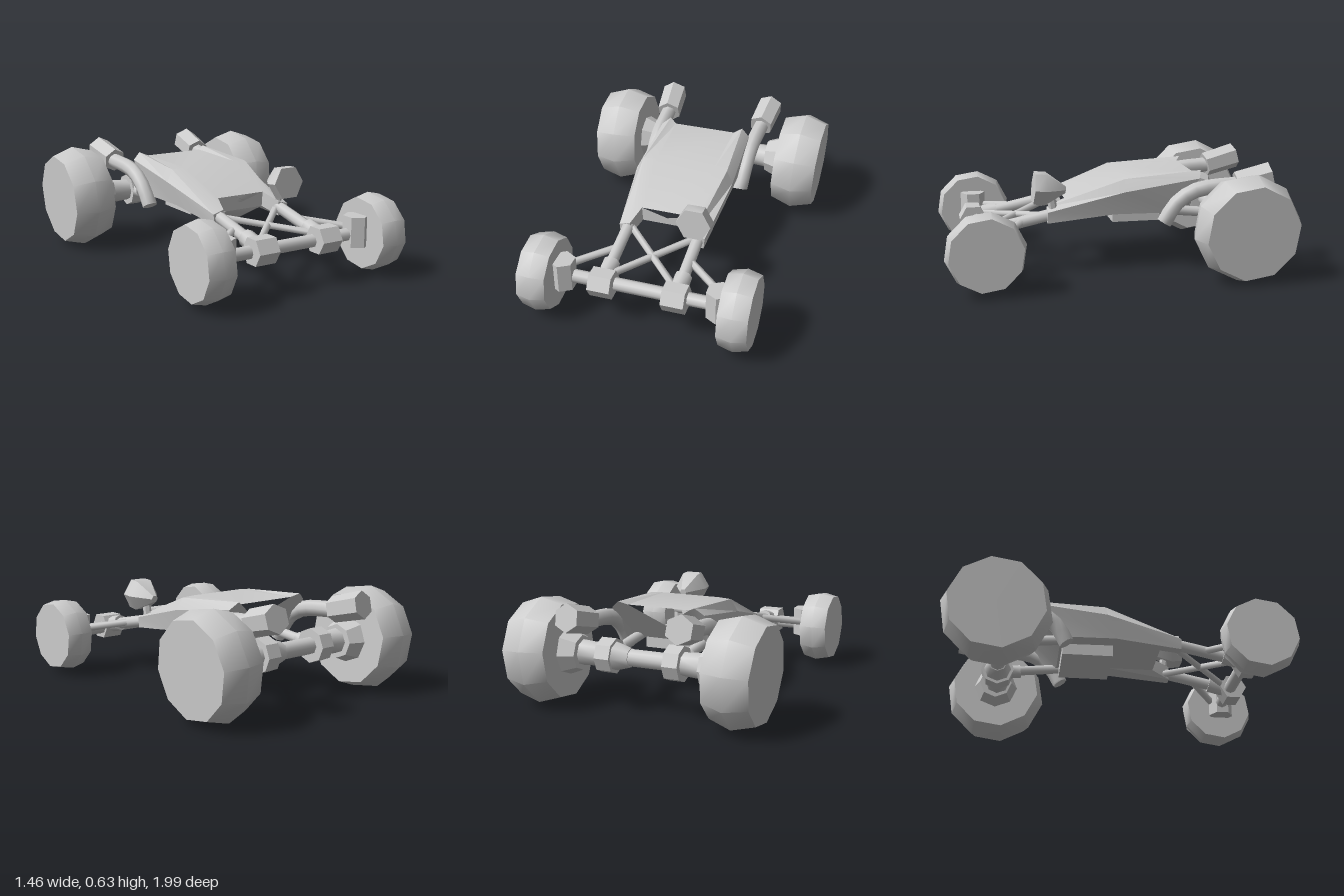
import * as THREE from 'three';
import { toCreasedNormals } from 'three/addons/utils/BufferGeometryUtils.js';

const material = new THREE.MeshStandardMaterial({ color: 0xcccccc });
const V = (p) => new THREE.Vector3(...p);
const UP = new THREE.Vector3(0, 1, 0);

export function createModel() {
  const model = new THREE.Group();

  function add(name, geometry, parent = model, crease = 0.75) {
    const mesh = new THREE.Mesh(toCreasedNormals(geometry, crease), material);
    mesh.name = name;
    parent.add(mesh);
    return mesh;
  }

  // Straight bar between two points, optionally tapered
  function bar(name, a, b, r, sides = 8, rEnd = r, crease = 0.9) {
    const from = V(a), to = V(b), dir = to.clone().sub(from);
    const mesh = add(name, new THREE.CylinderGeometry(rEnd, r, dir.length(), sides), model, crease);
    mesh.position.copy(from).add(to).multiplyScalar(0.5);
    mesh.quaternion.setFromUnitVectors(UP, dir.normalize());
    return mesh;
  }

  // Ten-sided balloon tyre with flat faces, axis along x
  function wheel(name, x, y, z, r, rFace, halfWidth, camber) {
    const profile = [[0, -1], [rFace, -1], [r, 0], [rFace, 1], [0, 1]]
      .map(([px, py]) => new THREE.Vector2(px, py * halfWidth));
    const geometry = new THREE.LatheGeometry(profile, 10, Math.PI / 20);
    geometry.rotateZ(-Math.PI / 2);
    const mesh = add(name, geometry);
    mesh.position.set(x, y, z);
    mesh.rotation.z = camber;
  }

  // Body shell: cross-sections of a half ring (bottom centre edge round to top), mirrored
  const sections = [
    [[0.15, 0.345, 0.28], [0.19, 0.305, 0.39], [0.25, 0.305, 0.39], [0.255, 0.37, 0.39], [0.19, 0.39, 0.39], [0.155, 0.43, 0.28]],
    [[0.15, 0.345, 0], [0.2, 0.345, 0], [0.265, 0.345, 0], [0.3, 0.48, -0.05], [0.26, 0.55, -0.06], [0.18, 0.555, -0.06]],
    [[0.15, 0.34, -0.32], [0.2, 0.34, -0.33], [0.265, 0.34, -0.36], [0.285, 0.54, -0.5], [0.235, 0.58, -0.52], [0.19, 0.56, -0.49]],
  ];
  const rings = sections.map((half) =>
    [...half, ...half.slice().reverse().map(([x, y, z]) => [-x, y, z])]);
  const n = rings[0].length;
  const index = [];
  for (let k = 0; k < rings.length - 1; k++) {
    for (let i = 0; i < n; i++) {
      const a = k * n + i, b = k * n + (i + 1) % n;
      index.push(a, b, a + n, b, b + n, a + n);
    }
  }
  // Caps join each half-ring point to its mirror in strips
  const cap = (o, flip) => {
    for (const [a, b, c] of [[0, 5, 11], [0, 11, 6], [0, 4, 5], [0, 1, 4], [1, 3, 4], [1, 2, 3]]) {
      const tris = b === 5 && c === 11 || b === 11 ? [[a, b, c]] : [[a, b, c], [11 - a, 11 - c, 11 - b]];
      // strips above run opposite to the outward direction at the front
      for (const t of tris) {
        const p = t.map((i) => rings[o][i]);
        const area = (p[1][0] - p[0][0]) * (p[2][1] - p[0][1]) - (p[2][0] - p[0][0]) * (p[1][1] - p[0][1]);
        const ccw = area > 0;
        const [u, v, w] = t.map((i) => o * n + i);
        index.push(...(ccw !== flip ? [u, v, w] : [u, w, v]));
      }
    }
  };
  cap(0, false);
  cap(2, true);
  // Sides face outward: ring runs counter-clockwise seen from the front
  for (let i = 0; i < (rings.length - 1) * n * 6; i += 3) {
    [index[i + 1], index[i + 2]] = [index[i + 2], index[i + 1]];
  }
  const shell = new THREE.BufferGeometry();
  shell.setAttribute('position', new THREE.Float32BufferAttribute(rings.flat(2), 3));
  shell.setIndex(index);
  add('body', shell, model, 0.4);

  // Engine tray beneath the body
  add('underTray', new THREE.BoxGeometry(0.34, 0.08, 0.3)).position.set(0, 0.315, -0.155);

  // Axles
  bar('frontAxle', [-0.42, 0.25, 0.77], [0.42, 0.25, 0.77], 0.038);
  bar('rearAxle', [-0.46, 0.31, -0.68], [0.46, 0.31, -0.68], 0.05);
  bar('differential', [0.07, 0.31, -0.68], [0.17, 0.31, -0.68], 0.055, 8, 0.085);

  for (const s of [-1, 1]) {
    // Front end
    wheel('frontWheel', s * 0.565, 0.245, 0.77, 0.225, 0.205, 0.083, 0);
    bar('frontHub', [s * 0.45, 0.18, 0.775], [s * 0.45, 0.355, 0.775], 0.075, 6, 0.075, 0.5);
    bar('frontAxleCollar', [s * 0.21 - 0.065, 0.257, 0.79], [s * 0.21 + 0.065, 0.257, 0.79], 0.082, 6, 0.082, 0.5);
    bar('frontTrailingArm', [s * 0.21, 0.265, 0.76], [s * 0.21, 0.355, 0.34], 0.035);
    bar('frontArmCollar', [s * 0.21, 0.27, 0.74], [s * 0.21, 0.292, 0.645], 0.05);
    bar('crossBrace', [s * 0.19, 0.34, 0.36], [-s * 0.19, 0.28, 0.74], 0.021, 6, 0.021, 1.1);
    bar('steeringRod', [s * 0.22, 0.315, 0.54], [s * 0.47, 0.27, 0.73], 0.022, 6, 0.022, 1.1);

    // Rear end
    wheel('rearWheel', s * 0.588, 0.31, -0.69, 0.31, 0.27, 0.13, -s * 0.04);
    bar('rearHub', [s * 0.37, 0.31, -0.69], [s * 0.47, 0.31, -0.69], 0.1, 8, 0.14, 0.7);
    bar('rearAxleSleeve', [s * 0.23, 0.31, -0.68], [s * 0.38, 0.31, -0.68], 0.065, 8, 0.075);
    bar('rearAxleCollar', [s * 0.16, 0.31, -0.68], [s * 0.25, 0.31, -0.68], 0.1, 8, 0.1, 0.7);
    bar('rearTrailingArm', [s * 0.21, 0.31, -0.66], [s * 0.205, 0.35, -0.28], 0.03);
    bar('rearArmCollar', [s * 0.21, 0.312, -0.61], [s * 0.21, 0.32, -0.54], 0.042);

    // Exhaust pipe and muffler
    const path = new THREE.CatmullRomCurve3([
      [0.29, 0.29, -0.29], [0.3, 0.4, -0.355], [0.305, 0.475, -0.47], [0.315, 0.505, -0.74],
    ].map(([x, y, z]) => V([s * x, y, z])));
    add('exhaustPipe', new THREE.TubeGeometry(path, 8, 0.047, 8), model, 0.9);
    bar('exhaustPipeEnd', [s * 0.29, 0.287, -0.287], [s * 0.29, 0.3, -0.295], 0.046);
    bar('muffler', [s * 0.312, 0.505, -0.715], [s * 0.33, 0.555, -0.915], 0.076, 6, 0.08, 0.5);
  }

  // Single headlamp: six-sided rim with a conical back, on a short stalk
  const lampProfile = [[0, -0.13], [0.022, -0.13], [0.103, -0.01], [0.1, 0.055], [0, 0.055]]
    .map(([x, y]) => new THREE.Vector2(x, y));
  const lamp = add('headlamp', new THREE.LatheGeometry(lampProfile, 6, Math.PI / 2), model, 0.6);
  lamp.position.set(0.208, 0.505, 0.41);
  lamp.rotation.x = Math.PI / 2 - 0.1;
  bar('headlampStalk', [0.208, 0.36, 0.35], [0.208, 0.48, 0.37], 0.025, 6);

  return model;
}
